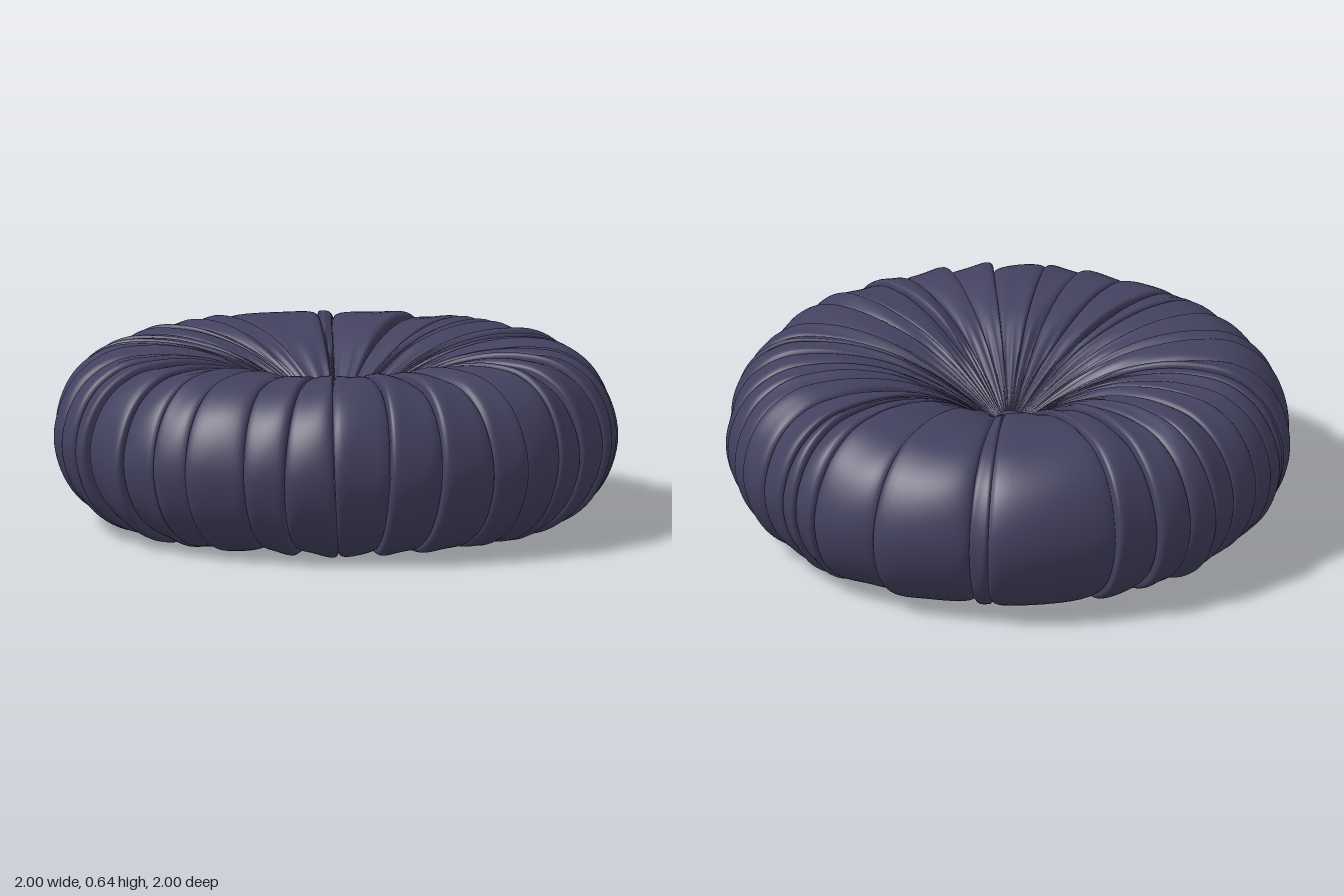
import * as THREE from 'three';

const MID = 0.325; // height of the cushion's equator

// Repeatable random numbers
function seeded(seed) {
  return () => {
    seed = (seed * 16807) % 2147483647;
    return seed / 2147483647;
  };
}

// Cross-section of the stuffed ring, from bottom centre round to top centre
function crossSection(steps) {
  const upper = [
    [0.985, 0], [0.96, 0.12], [0.9, 0.215], [0.8, 0.28], [0.68, 0.298], [0.56, 0.292],
    [0.42, 0.26], [0.28, 0.2], [0.16, 0.132], [0.07, 0.072], [0.005, 0.045],
  ];
  const lower = upper.slice(1).reverse().map(([r, y]) => [r, -y]);
  const curve = new THREE.CatmullRomCurve3(
    [...lower, ...upper].map(([r, y]) => new THREE.Vector3(r, y, 0)), false, 'centripetal');
  const rows = [];
  for (let j = 0; j <= steps; j++) {
    const p = curve.getPointAt(j / steps);
    const t = curve.getTangentAt(j / steps);
    rows.push({ r: p.x, y: p.y, nr: t.y, ny: -t.x, v: j / steps });
  }
  return rows;
}

// Pleated cover: fabric panels between uneven seams, each stepping over its neighbour
function pleatedCover() {
  const rand = seeded(4711);
  const rows = crossSection(96);
  const seams = [-124, -98, -94, -73, -57, -52, -48, -38, -30, -24, -17, -6, 0, 5, 12, 24, 33, 44,
    52, 64, 75, 87, 97, 107, 120, 128, 138, 150, 157, 168, 176, 183, 188, 195, 203, 211, 217, 225]
    .map((deg) => ({ angle: THREE.MathUtils.degToRad(deg), phase: rand() * 6.28 }));
  const across = [0, 0.015, 0.04, 0.09, 0.17, 0.27, 0.38, 0.5, 0.62, 0.73, 0.83, 0.91, 0.96, 0.985, 1];
  const positions = [];
  const indices = [];
  const seamAngle = (s, v) => s.angle + 0.014 * Math.sin(s.phase + v * 8);

  seams.forEach((seam, i) => {
    const next = seams[(i + 1) % seams.length];
    const turn = i === seams.length - 1 ? Math.PI * 2 : 0;
    const tilt = (rand() < 0.5 ? -1 : 1) * (0.008 + rand() * 0.009);
    const swell = 0.008 + rand() * 0.006;
    const phase = rand() * 6.28;
    for (const u of across) {
      const edge = Math.abs(2 * u - 1);
      for (const { r, y, nr, ny, v } of rows) {
        const fade = THREE.MathUtils.smoothstep(r, 0.02, 0.45);
        const strength = 0.75 + 0.25 * Math.sin(phase + v * 9);
        const step = tilt * (2 * u - 1) * strength;
        const pillow = swell * (1 - edge ** 6) - 0.009 * edge ** 24;
        const wrinkle = 0.003 * Math.sin(phase + v * 22 + u * 5);
        // Fine gathers crowd towards the buttons
        const gather = 0.005 * Math.exp(-(((r - 0.24) / 0.15) ** 2)) * Math.cos(u * Math.PI * 4);
        const d = fade * (step + pillow + wrinkle) + gather;
        const a = THREE.MathUtils.lerp(seamAngle(seam, v), seamAngle(next, v) + turn, u);
        const radius = Math.max(0.003, r + nr * d);
        positions.push(radius * Math.cos(a), MID + y + ny * d, radius * Math.sin(a));
      }
    }
  });

  const n = rows.length;
  const columns = seams.length * across.length;
  for (let c = 0; c < columns; c++) {
    const e = (c + 1) % columns;
    for (let j = 0; j < n - 1; j++) {
      const a = c * n + j;
      const b = e * n + j;
      indices.push(a, a + 1, b, b, a + 1, b + 1);
    }
  }
  const geometry = new THREE.BufferGeometry();
  geometry.setAttribute('position', new THREE.Float32BufferAttribute(positions, 3));
  geometry.setIndex(indices);
  geometry.computeVertexNormals();
  return geometry;
}

export function createModel() {
  const fabric = new THREE.MeshStandardMaterial({ color: 0x43415f });
  fabric.name = 'indigo fabric';
  fabric.side = THREE.DoubleSide;
  const model = new THREE.Group();
  model.name = 'roundCushion';

  const cover = new THREE.Mesh(pleatedCover(), fabric);
  cover.name = 'pleatedCover';
  model.add(cover);

  // Covered buttons pulling in the middle on both sides
  for (const side of [1, -1]) {
    const button = new THREE.Mesh(new THREE.SphereGeometry(0.05, 32, 16), fabric);
    button.name = side > 0 ? 'topButton' : 'bottomButton';
    button.scale.y = 0.5;
    button.position.set(-0.005, MID + side * 0.066, -0.005);
    model.add(button);
  }

  // Rest the lowest fold on the ground
  const box = new THREE.Box3().setFromObject(model);
  model.position.y = -box.min.y;
  return model;
}
